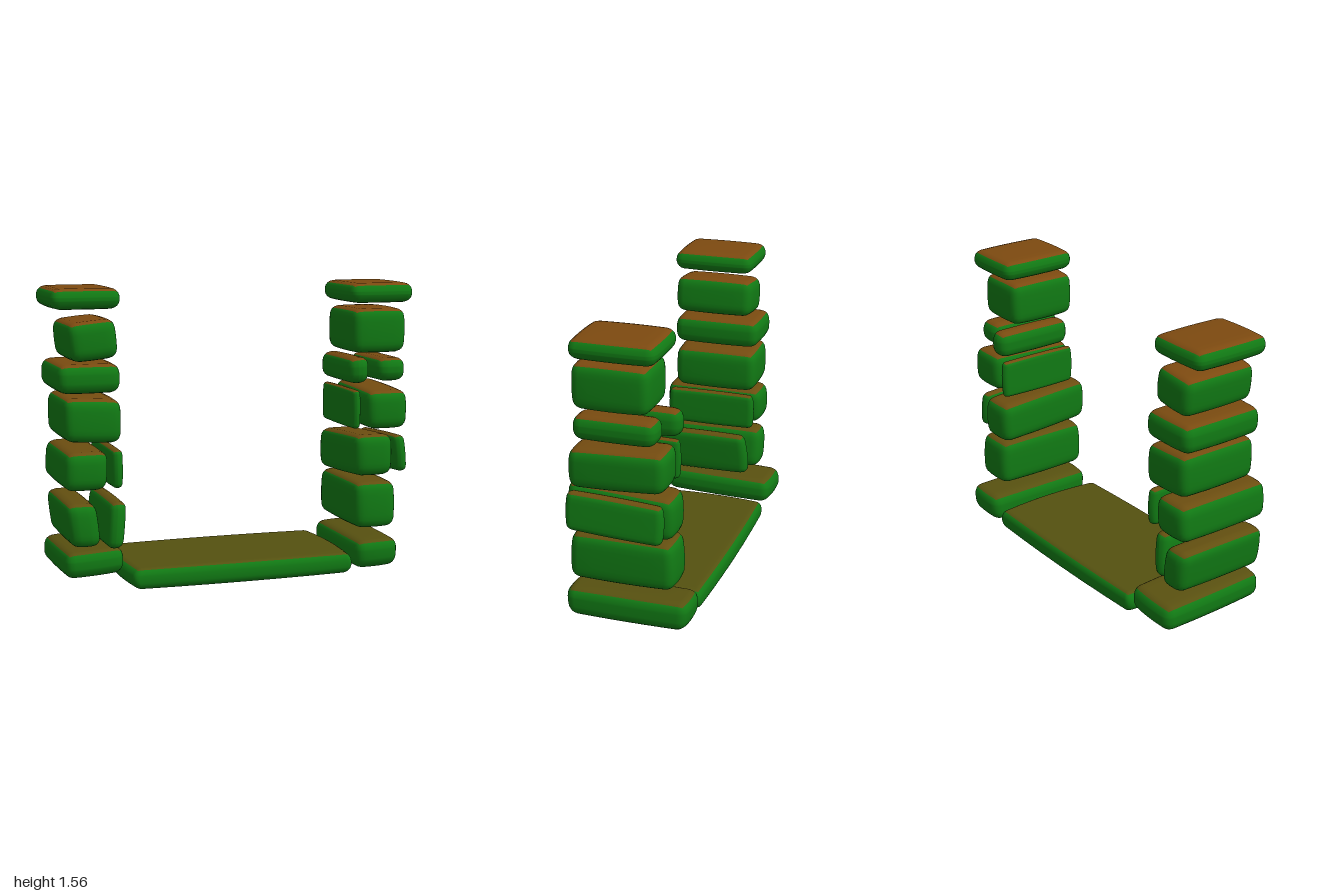
import * as THREE from 'three';
import { mergeVertices } from 'three/addons/utils/BufferGeometryUtils.js';

const sideMaterial = new THREE.MeshStandardMaterial({ color: 0x117a14 });

// Soft-edged box filling the given ranges. lean: x per y, roll: y per x, tilt: y per z.
function stone(name, [x0, x1], [y0, y1], [z0, z1], opts = {}) {
  const { lean = 0, roll = 0, tilt = 0, taper = 0, radius = 0.045, bulge = 0.035 } = opts;
  const fullW = x1 - x0, fullH = y1 - y0, d = z1 - z0;
  const w = fullW - Math.abs(lean) * fullH;
  const h = fullH - Math.abs(roll) * fullW - Math.abs(tilt) * d;
  const half = [w / 2, h / 2, d / 2];
  const r = Math.min(radius, Math.min(...half) * 0.8);
  const flat = 0.6; // share of the grid spent on the flat faces

  let geo = new THREE.BoxGeometry(2, 2, 2, 10, 10, 10);
  geo.deleteAttribute('normal');
  geo.deleteAttribute('uv');
  geo = mergeVertices(geo);
  const pos = geo.attributes.position;
  const excess = new THREE.Vector3();
  for (let i = 0; i < pos.count; i++) {
    const t = [pos.getX(i), pos.getY(i), pos.getZ(i)];
    // round the edges
    excess.fromArray(t.map(v => Math.sign(v) * Math.max(0, Math.abs(v) - flat)));
    excess.normalize().multiplyScalar(r);
    const e = excess.toArray();
    const p = t.map((v, k) => THREE.MathUtils.clamp(v / flat, -1, 1) * (half[k] - r) + e[k]);
    // swell the faces slightly towards their middles
    const n = p.map((v, k) => (v / half[k]) ** 2);
    const sum = n[0] + n[1] + n[2];
    let [x, y, z] = p.map((v, k) => v * (1 - bulge * (sum - n[k])));
    // slant
    z *= 1 - taper * (y / h);
    const slantedX = x + lean * y;
    pos.setXYZ(i, slantedX, y + roll * x + tilt * z, z);
  }
  geo.computeVertexNormals();

  // mossy olive tops low down, brown tops higher up
  const top = new THREE.MeshStandardMaterial({
    color: new THREE.Color(0x4f5210).lerp(new THREE.Color(0x7d4a10), Math.min(1, y1 / 1.3)),
  });
  const s = sideMaterial;
  const mesh = new THREE.Mesh(geo, [s, s, top, s, s, s]);
  mesh.name = name;
  mesh.position.set((x0 + x1) / 2, (y0 + y1) / 2, (z0 + z1) / 2);
  return mesh;
}

function pile(name, rows) {
  const group = new THREE.Group();
  group.name = name;
  rows.forEach((row, i) => group.add(stone(`${name}Stone${i + 1}`, ...row)));
  return group;
}

export function createModel() {
  const model = new THREE.Group();
  model.name = 'stoneGateway';

  // threshold slab between the piles
  model.add(stone('thresholdSlab', [-0.63, 0.63], [0, 0.12], [-0.335, 0.345], { radius: 0.03 }));

  // pile on the +x side, bottom to top
  model.add(pile('leftPillar', [
    [[0.64, 0.89], [0.01, 0.18], [-0.34, 0.32], { roll: 0.04, taper: -0.04 }],
    [[0.64, 0.885], [0.23, 0.49], [-0.27, 0.295], { taper: 0.03 }],
    [[0.63, 0.855], [0.49, 0.755], [-0.26, 0.315], { tilt: 0.06 }],
    [[0.86, 0.955], [0.51, 0.74], [-0.23, 0.285], { tilt: 0.05, lean: -0.1 }],
    [[0.645, 0.695], [0.77, 0.985], [-0.24, 0.23]],
    [[0.72, 0.96], [0.765, 1.0], [-0.25, 0.265], { tilt: -0.04 }],
    [[0.64, 0.76], [1.01, 1.16], [-0.26, 0.2], { roll: 0.05 }],
    [[0.79, 0.955], [1.025, 1.155], [-0.2, 0.235]],
    [[0.64, 0.955], [1.18, 1.425], [-0.17, 0.24]],
    [[0.63, 1.0], [1.45, 1.56], [-0.22, 0.235], { radius: 0.055 }],
  ]));

  // pile on the -x side, bottom to top
  model.add(pile('rightPillar', [
    [[-0.955, -0.64], [0.05, 0.23], [-0.345, 0.29], { roll: 0.06, tilt: 0.03 }],
    [[-0.955, -0.76], [0.235, 0.47], [-0.25, 0.305], { lean: -0.12 }],
    [[-0.75, -0.635], [0.23, 0.475], [-0.2, 0.345], { lean: 0.1, taper: 0.08 }],
    [[-0.96, -0.72], [0.53, 0.735], [-0.26, 0.31], { lean: 0.05 }],
    [[-0.7, -0.64], [0.53, 0.735], [-0.24, 0.27]],
    [[-0.94, -0.63], [0.755, 1.005], [-0.25, 0.23], { roll: -0.05 }],
    [[-0.97, -0.635], [1.02, 1.175], [-0.26, 0.235]],
    [[-0.92, -0.64], [1.175, 1.41], [-0.215, 0.235], { roll: 0.1, lean: -0.1 }],
    [[-1.0, -0.63], [1.45, 1.56], [-0.22, 0.235], { radius: 0.055 }],
  ]));
  return model;
}
